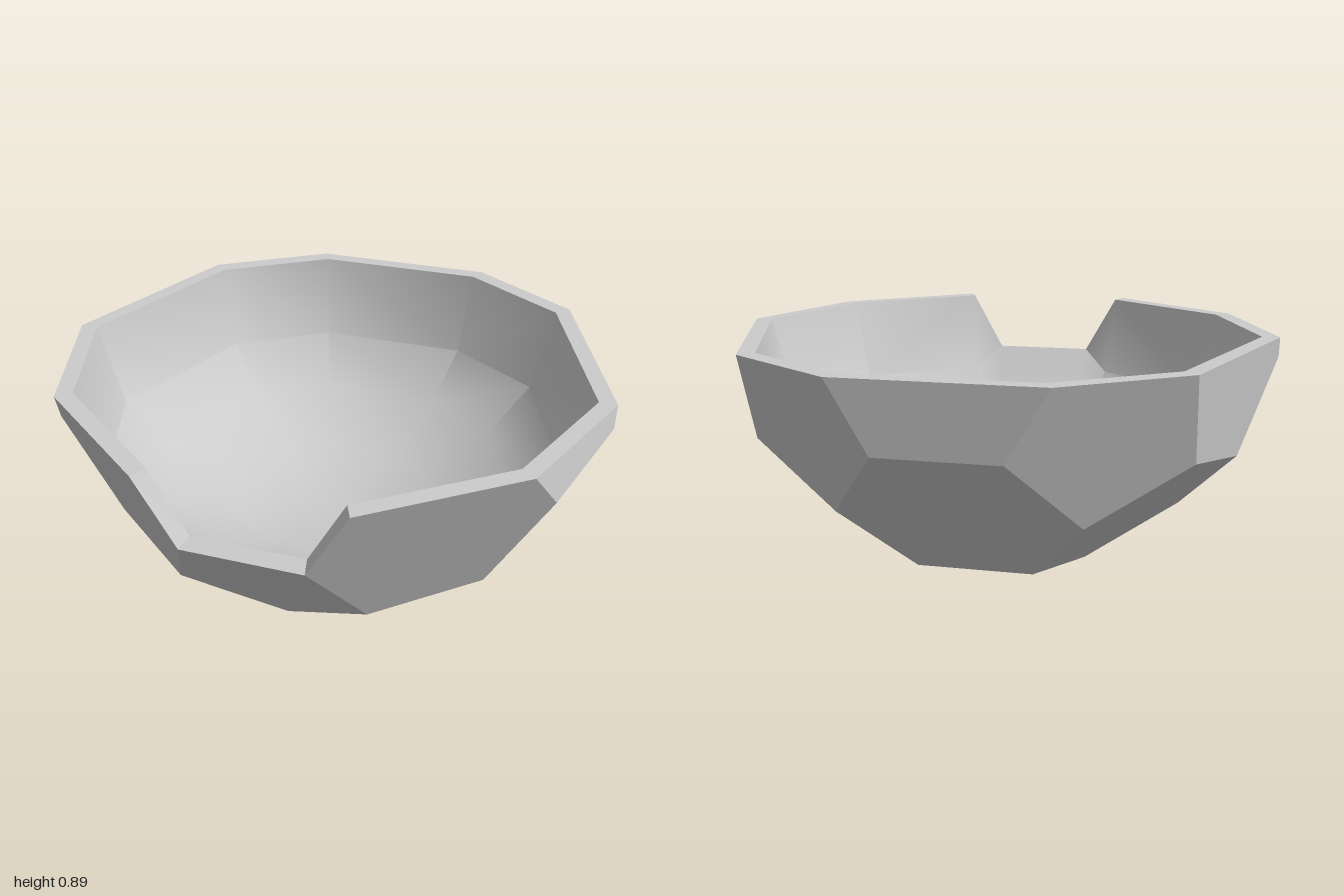
import * as THREE from 'three';
import { toCreasedNormals } from 'three/addons/utils/BufferGeometryUtils.js';

const EDGE = 0.412;            // edge of the truncated icosahedron
const CENTRE_Y = 1.007;        // height of the full solid's centre
const RIM_Y = 0.89;            // height of the horizontal cut
const INNER = 0.937;           // inner outline scale, sets the rim width
const SILL_Y = 0.664;          // inner height of the notch sill
// Cavity rings below the rim: [share of the rim outline, height]
const CAVITY = [[0.91, 0.58], [0.72, 0.41], [0.4, 0.28], [0, 0.23]];

// Icosahedron corners, arranged in threes around the z axis
function icosahedronCorners() {
  const e = 3 * EDGE, phi = (1 + Math.sqrt(5)) / 2;
  const r1 = e / Math.sqrt(3), h1 = 0.75576 * e;
  const ring = (r, z, start) => [0, 1, 2].map(i => {
    const a = THREE.MathUtils.degToRad(start + i * 120);
    return new THREE.Vector3(r * Math.cos(a), r * Math.sin(a), z);
  });
  const r2 = r1 * phi, h2 = h1 / phi ** 3;
  return [...ring(r1, h1, -90), ...ring(r2, h2, 90), ...ring(r2, -h2, -90), ...ring(r1, -h1, 90)];
}

// Order points counter-clockwise as seen from outside
function sortAround(points) {
  const n = points.reduce((s, p) => s.add(p), new THREE.Vector3()).normalize();
  const u = points[0].clone().addScaledVector(n, -points[0].dot(n)).normalize();
  const v = n.clone().cross(u);
  const angle = p => Math.atan2(p.dot(v), p.dot(u));
  return { normal: n, points: points.slice().sort((a, b) => angle(a) - angle(b)) };
}

// Twelve pentagons and twenty hexagons
function footballFaces() {
  const c = icosahedronCorners(), faces = [];
  const near = (a, b) => a !== b && a.distanceTo(b) < 3.3 * EDGE;
  const third = (a, b) => a.clone().lerp(b, 1 / 3);
  for (const a of c) faces.push(sortAround(c.filter(b => near(a, b)).map(b => third(a, b))));
  for (let i = 0; i < 12; i++) for (let j = i + 1; j < 12; j++) for (let k = j + 1; k < 12; k++) {
    const t = [c[i], c[j], c[k]];
    if (near(t[0], t[1]) && near(t[1], t[2]) && near(t[0], t[2]))
      faces.push(sortAround(t.flatMap(a => t.filter(b => b !== a).map(b => third(a, b)))));
  }
  return faces;
}

// Scale a face, lift it into place and keep the part below the rim
function cutFace(points, scale) {
  const pts = points.map(p => p.clone().multiplyScalar(scale).add(new THREE.Vector3(0, CENTRE_Y, 0)));
  const out = [];
  pts.forEach((p, i) => {
    const q = pts[(i + 1) % pts.length];
    if (p.y <= RIM_Y) out.push(p);
    if ((p.y <= RIM_Y) !== (q.y <= RIM_Y)) {
      const s = p.clone().lerp(q, (RIM_Y - p.y) / (q.y - p.y));
      s.y = RIM_Y;
      out.push(s);
    }
  });
  return out;
}

// Rounded cavity: the inner outline shrinks in rings down to the floor
function cavityTriangles(outline) {
  const loop = outline.slice().sort((a, b) => Math.atan2(a.x, a.z) - Math.atan2(b.x, b.z));
  const rings = [loop, ...CAVITY.map(([s, y]) => loop.map(p => new THREE.Vector3(p.x * s, y, p.z * s)))];
  const out = [];
  for (let k = 0; k < CAVITY.length; k++) loop.forEach((p, i) => {
    const j = (i + 1) % loop.length;
    const a = rings[k][i], b = rings[k][j], c = rings[k + 1][j], d = rings[k + 1][i];
    if (k === CAVITY.length - 1) out.push(a, b, c);
    else if (p.x + loop[j].x < 0) out.push(a, b, d, b, c, d); // mirrored diagonal
    else out.push(a, b, c, a, c, d);
  });
  return out;
}

function makeMesh(name, triangles, crease = 0) {
  let g = new THREE.BufferGeometry().setFromPoints(triangles);
  if (crease) g = toCreasedNormals(g, crease);
  else g.computeVertexNormals();
  const mesh = new THREE.Mesh(g, new THREE.MeshStandardMaterial({ color: 0xcccccc }));
  mesh.name = name;
  return mesh;
}

export function createModel() {
  const outer = [], rim = [], notch = [], outline = [];
  const onRim = p => Math.abs(p.y - RIM_Y) < 1e-6;

  for (const { normal, points } of footballFaces()) {
    const a = cutFace(points, 1), b = cutFace(points, INNER);
    if (a.length < 3) continue;
    const open = normal.z > 0.99; // the missing front panel

    if (open) b.filter(p => !onRim(p)).forEach(p => { p.y = SILL_Y; });
    else for (let i = 1; i < a.length - 1; i++) outer.push(a[0], a[i], a[i + 1]);

    // Wall thickness along the rim and around the opening
    a.forEach((p, i) => {
      const j = (i + 1) % a.length, q = a[j];
      const top = onRim(p) && onRim(q);
      if (top && !open) {
        rim.push(q, p, b[i], q, b[i], b[j]);
        outline.push(b[i]);
      }
      if (!top && open) {
        notch.push(p, q, b[j], p, b[j], b[i]);
        outline.push(b[j]);
      }
    });
  }

  const bowl = new THREE.Group();
  bowl.name = 'bowl';
  bowl.add(
    makeMesh('outerShell', outer),
    makeMesh('cavity', cavityTriangles(outline), 0.65),
    makeMesh('rim', rim),
    makeMesh('notchWalls', notch)
  );
  return bowl;
}
